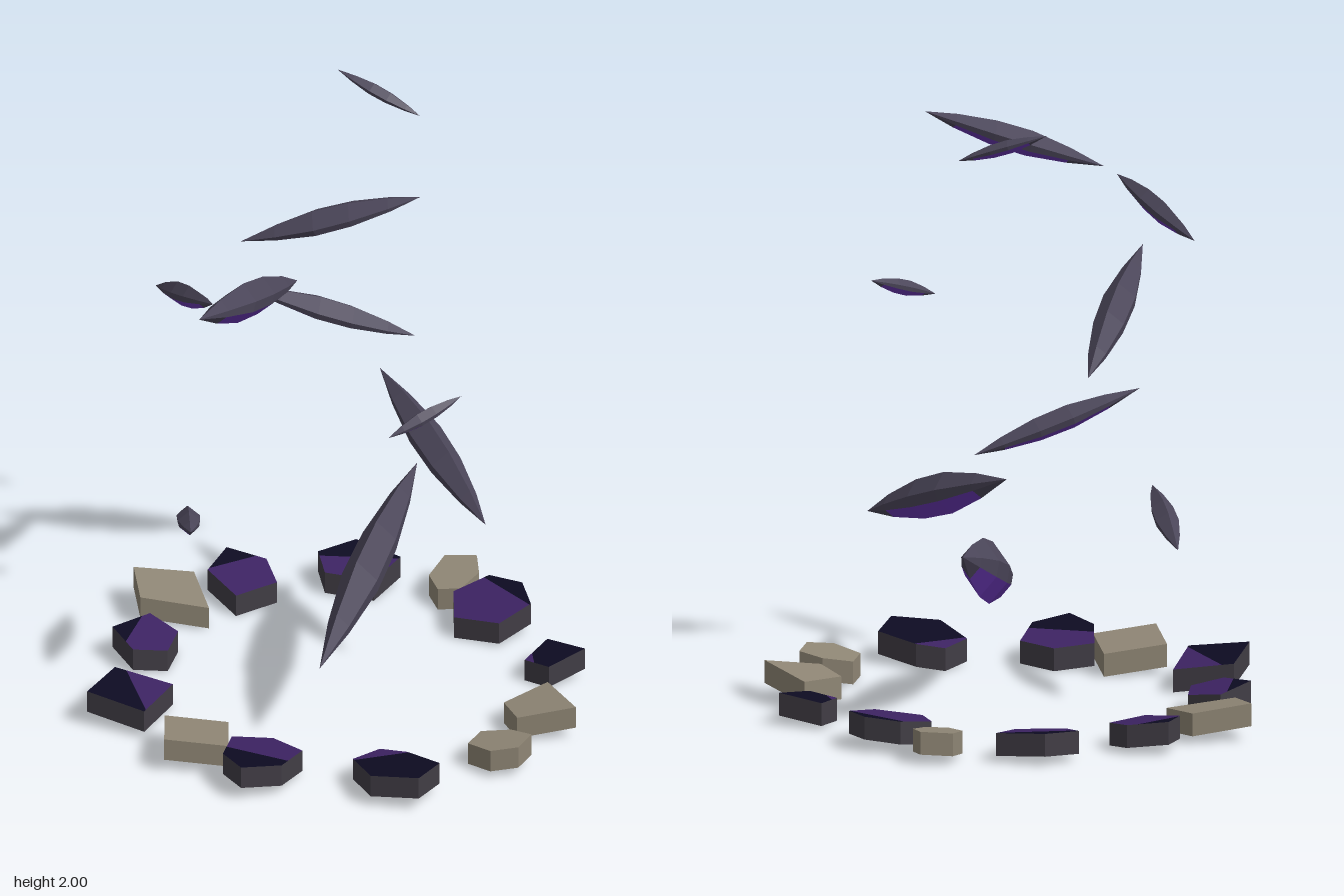
import * as THREE from 'three';

const material = (name, color) => Object.assign(new THREE.MeshStandardMaterial({ color }), { name });

// Flat-shaded mesh from a list of triangle corners
function facetMesh(name, points, mat) {
  const geometry = new THREE.BufferGeometry().setFromPoints(points);
  geometry.computeVertexNormals();
  const mesh = new THREE.Mesh(geometry, mat);
  mesh.name = name;
  return mesh;
}

// Keep the part of a polygon where side(point) >= 0
function clip(poly, side) {
  const out = [];
  poly.forEach((p, i) => {
    const q = poly[(i + 1) % poly.length];
    const a = side(p), b = side(q);
    if (a >= 0) out.push(p);
    if (a * b < 0) out.push(p.clone().lerp(q, a / (a - b)));
  });
  return out;
}

// Floating shard: six-sided section swept between two pointed tips
const SECTION = [[1, 0.25], [0, 1], [-1, 0.25], [-0.9, -0.3], [0, -1], [0.9, -0.3]];
const PROFILE = [[0, 0], [0.2, 0.6], [0.42, 1], [0.62, 0.95], [0.83, 0.55], [1, 0]];

function shard([from, to, width, height], mats) {
  const a = new THREE.Vector3(...from), b = new THREE.Vector3(...to);
  const dir = b.clone().sub(a).normalize();
  const side = dir.clone().cross(new THREE.Vector3(0, 1, 0)).normalize();
  const up = side.clone().cross(dir);
  const at = (k, i) => {
    const [t, r] = PROFILE[k], [u, v] = SECTION[i % 6];
    return a.clone().lerp(b, t)
      .addScaledVector(side, u * r * width / 2)
      .addScaledVector(up, v * r * height / 2);
  };
  const body = [], belly = [];
  for (let k = 0; k < 5; k++) {
    for (let i = 0; i < 6; i++) {
      const glowing = (i === 3 || i === 4) && k > 0 && k < 4;
      const list = glowing ? belly : body;
      if (k < 4) list.push(at(k, i), at(k + 1, i), at(k + 1, i + 1));
      if (k > 0) list.push(at(k, i), at(k + 1, i + 1), at(k, i + 1));
    }
  }
  const group = new THREE.Group();
  group.name = 'shard';
  group.add(facetMesh('shardBody', body, mats.shard), facetMesh('shardBelly', belly, mats.glow));
  return group;
}

// Ring stone: slab tilted up toward the outside; dark ones have a purple inner cap
function stone({ outline, cut }, mats) {
  const poly = outline.map(([x, z]) => new THREE.Vector2(x, z));
  const radial = poly.reduce((s, p) => s.add(p), new THREE.Vector2()).normalize();
  const inner = Math.min(...poly.map((p) => p.dot(radial)));
  const lift = (p, h) => new THREE.Vector3(p.x, (p.dot(radial) - inner) * 0.16 + h, p.y);
  const thickness = 0.075;
  const caps = (part) => {
    const out = [];
    for (let i = 1; i < part.length - 1; i++) {
      const [p, q, r] = [part[0], part[i], part[i + 1]];
      out.push(lift(p, thickness), lift(r, thickness), lift(q, thickness));
      out.push(lift(p, 0), lift(q, 0), lift(r, 0));
    }
    return out;
  };
  const walls = [];
  poly.forEach((p, i) => {
    const q = poly[(i + 1) % poly.length];
    walls.push(lift(p, 0), lift(p, thickness), lift(q, thickness));
    walls.push(lift(p, 0), lift(q, thickness), lift(q, 0));
  });
  const group = new THREE.Group();
  group.name = cut ? 'darkStone' : 'paleStone';
  group.add(facetMesh('stoneWalls', walls, cut ? mats.wall : mats.pale));
  if (cut) {
    group.add(
      facetMesh('stoneOuterCap', caps(clip(poly, (p) => p.dot(radial) - cut)), mats.night),
      facetMesh('stoneInnerCap', caps(clip(poly, (p) => cut - p.dot(radial))), mats.purple));
  } else {
    group.add(facetMesh('stoneCaps', caps(poly), mats.pale));
  }
  return group;
}

// Shards: first tip, second tip, width, height
const SHARDS = [
  [[-0.19, 2.0, -0.45], [0.1, 1.9, -0.435], 0.05, 0.045],
  [[-0.24, 1.73, 0.245], [0.31, 1.925, 0.08], 0.14, 0.085],
  [[-0.535, 1.5, 0.24], [-0.23, 1.64, 0.505], 0.06, 0.08],
  [[-0.35, 1.46, 0.325], [-0.32, 1.205, -0.43], 0.105, 0.13],
  [[0.345, 1.235, 0.435], [0.515, 1.32, 0.235], 0.05, 0.05],
  [[-0.48, 1.17, -0.385], [0.015, 0.98, -0.605], 0.12, 0.08],
  [[-0.075, 0.885, -0.525], [0.46, 0.65, -0.105], 0.11, 0.135],
  [[-0.53, 0.545, -0.01], [-0.38, 0.67, 0.325], 0.075, 0.08],
  [[0.09, 0.305, 0.39], [0.08, 0.605, -0.46], 0.12, 0.2],
];

// Stones: outline seen from above (x, z), and radius where the inner colour ends
const STONES = [
  { outline: [[-0.33, -0.63], [-0.24, -0.73], [-0.075, -0.7], [-0.11, -0.56], [-0.27, -0.54]], cut: 0.68 },
  { outline: [[0.055, -0.755], [0.155, -0.78], [0.195, -0.7], [0.17, -0.61], [0.1, -0.585], [0.045, -0.645]] },
  { outline: [[0.24, -0.675], [0.36, -0.66], [0.43, -0.56], [0.37, -0.44], [0.215, -0.44], [0.16, -0.57]], cut: 0.69 },
  { outline: [[0.55, -0.405], [0.695, -0.365], [0.62, -0.245], [0.525, -0.275]], cut: 0.62 },
  { outline: [[0.655, -0.15], [0.815, 0.005], [0.65, 0.095], [0.565, 0]] },
  { outline: [[0.565, 0.195], [0.66, 0.17], [0.74, 0.195], [0.735, 0.295], [0.655, 0.335], [0.56, 0.29]] },
  { outline: [[0.31, 0.42], [0.405, 0.42], [0.54, 0.48], [0.525, 0.62], [0.37, 0.645], [0.26, 0.525]], cut: 0.585 },
  { outline: [[-0.03, 0.485], [0.09, 0.535], [0.08, 0.685], [-0.025, 0.77], [-0.12, 0.69], [-0.15, 0.54]], cut: 0.635 },
  { outline: [[-0.2, 0.445], [-0.13, 0.62], [-0.32, 0.695], [-0.39, 0.52]] },
  { outline: [[-0.65, 0.3], [-0.455, 0.29], [-0.46, 0.52], [-0.66, 0.51]], cut: 0.67 },
  { outline: [[-0.68, -0.07], [-0.565, -0.025], [-0.55, 0.1], [-0.645, 0.16], [-0.75, 0.075]], cut: 0.69 },
  { outline: [[-0.645, -0.355], [-0.53, -0.2], [-0.74, -0.135], [-0.82, -0.275]] },
  { outline: [[-0.6, -0.52], [-0.465, -0.525], [-0.39, -0.43], [-0.48, -0.305], [-0.61, -0.385]], cut: 0.72 },
];

export function createModel() {
  const mats = {
    shard: material('shardGrey', 0x4b4659),
    glow: material('brightViolet', 0x6a38b4),
    wall: material('darkStoneGrey', 0x413d45),
    night: material('nightBlue', 0x0d0b22),
    purple: material('deepPurple', 0x3d2363),
    pale: material('paleStoneTan', 0x8f8675),
  };
  const model = new THREE.Group();
  model.name = 'shardSpiral';
  const shards = new THREE.Group();
  shards.name = 'floatingShards';
  SHARDS.forEach((s) => shards.add(shard(s, mats)));
  const ring = new THREE.Group();
  ring.name = 'stoneRing';
  STONES.forEach((s) => ring.add(stone(s, mats)));
  model.add(shards, ring);
  return model;
}
